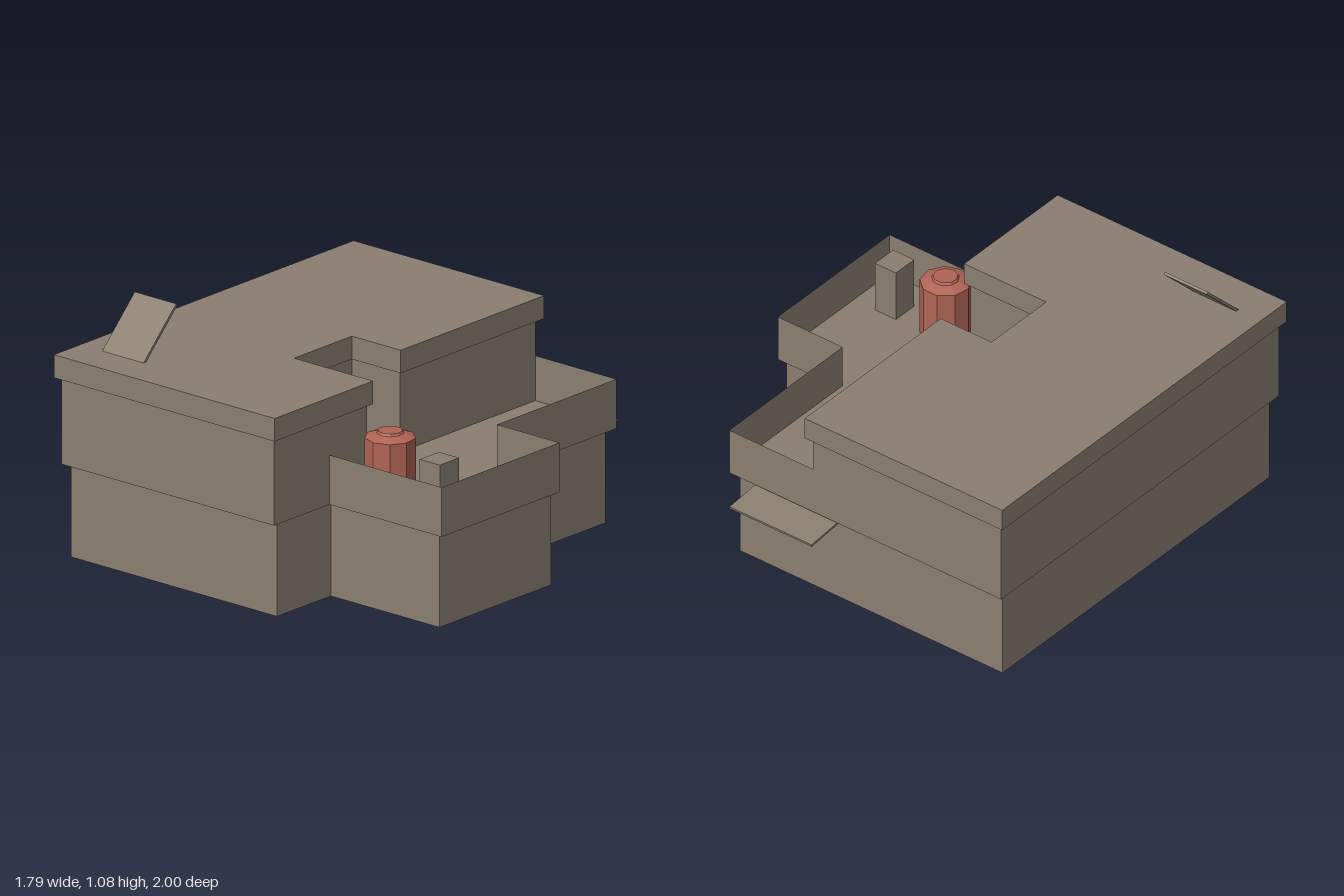
import * as THREE from 'three';

const wallMaterial = new THREE.MeshStandardMaterial({ color: 0x8a7e70, flatShading: true, side: THREE.DoubleSide });
wallMaterial.name = 'stone brown';
const barrelMaterial = new THREE.MeshStandardMaterial({ color: 0xb06454, flatShading: true, side: THREE.DoubleSide });
barrelMaterial.name = 'brick red';

function addMesh(parent, name, geometry, material = wallMaterial) {
  const mesh = new THREE.Mesh(geometry, material);
  mesh.name = name;
  parent.add(mesh);
  return mesh;
}

// solid block standing on a floor plan of [x, z] corners
function prism(plan, y0, y1) {
  const shape = new THREE.Shape(plan.map(([x, z]) => new THREE.Vector2(x, -z)));
  const geometry = new THREE.ExtrudeGeometry(shape, { depth: y1 - y0, bevelEnabled: false });
  return geometry.rotateX(-Math.PI / 2).translate(0, y0, 0);
}

// thin upright walls following a path of [x, z] corners
function wallStrip(path, y0, y1, closed) {
  const positions = [];
  const count = closed ? path.length : path.length - 1;
  for (let i = 0; i < count; i++) {
    const [ax, az] = path[i];
    const [bx, bz] = path[(i + 1) % path.length];
    positions.push(ax, y0, az, bx, y0, bz, bx, y1, bz);
    positions.push(ax, y0, az, bx, y1, bz, ax, y1, az);
  }
  const geometry = new THREE.BufferGeometry();
  geometry.setAttribute('position', new THREE.Float32BufferAttribute(positions, 3));
  geometry.computeVertexNormals();
  return geometry;
}

// stepped plan with a side wing, listed counter-clockwise from the front
function wingPlan(left, front, step, wingFront, wing, wingBack, rear, back) {
  return [
    [left, front], [step, front], [step, wingFront], [wing, wingFront],
    [wing, wingBack], [rear, wingBack], [rear, back], [left, back],
  ];
}

// plan with a recess cut into its +x side
function recessPlan(left, front, right, recessFront, recess, recessBack, rear, back) {
  return [
    [left, front], [right, front], [right, recessFront], [recess, recessFront],
    [recess, recessBack], [rear, recessBack], [rear, back], [left, back],
  ];
}

export function createModel() {
  const model = new THREE.Group();
  model.name = 'terracedHouse';

  // ground floor, open underneath
  const groundPlan = wingPlan(-0.85, 0.95, 0.27, 0.615, 0.86, -0.08, 0.525, -0.805);
  addMesh(model, 'groundFloorWalls', wallStrip(groundPlan, 0, 0.405, true));

  // overhanging floor slab and the terrace parapet
  const upperPlan = wingPlan(-0.875, 0.98, 0.28, 0.635, 0.89, -0.1, 0.55, -0.845);
  addMesh(model, 'terraceSlab', prism(upperPlan, 0.405, 0.425));
  addMesh(model, 'terraceParapet', wallStrip([...upperPlan.slice(2, 7), [0.1, -0.845]], 0.405, 0.62, false));

  // upper rooms and overhanging roof
  addMesh(model, 'upperFloor', prism(recessPlan(-0.875, 0.98, 0.28, 0.4, -0.15, 0, 0.11, -0.845), 0.425, 0.78));
  addMesh(model, 'roof', prism(recessPlan(-0.9, 1, 0.3, 0.385, -0.13, 0.025, 0.135, -0.87), 0.78, 0.88));

  // open roof hatch
  const hatch = addMesh(model, 'roofHatch', new THREE.BoxGeometry(0.225, 0.012, 0.295));
  hatch.position.set(-0.668, 0.975, 0.732);
  hatch.rotation.x = Math.PI / 4;

  // awning on the back wall
  const awning = addMesh(model, 'backAwning', new THREE.BoxGeometry(0.43, 0.01, 0.2));
  awning.position.set(0.21, 0.382, -0.9);
  awning.rotation.x = -0.1;

  // terrace furniture
  const stand = addMesh(model, 'terraceBlock', new THREE.BoxGeometry(0.11, 0.235, 0.12));
  stand.position.set(0.723, 0.5425, 0.458);

  const barrelProfile = [
    [0, 0.425], [0.107, 0.425], [0.107, 0.69], [0.058, 0.708], [0.052, 0.718], [0, 0.718],
  ].map(([r, y]) => new THREE.Vector2(r, y));
  const barrel = addMesh(model, 'barrel', new THREE.LatheGeometry(barrelProfile, 9), barrelMaterial);
  barrel.position.set(0.447, 0, 0.447);

  return model;
}
